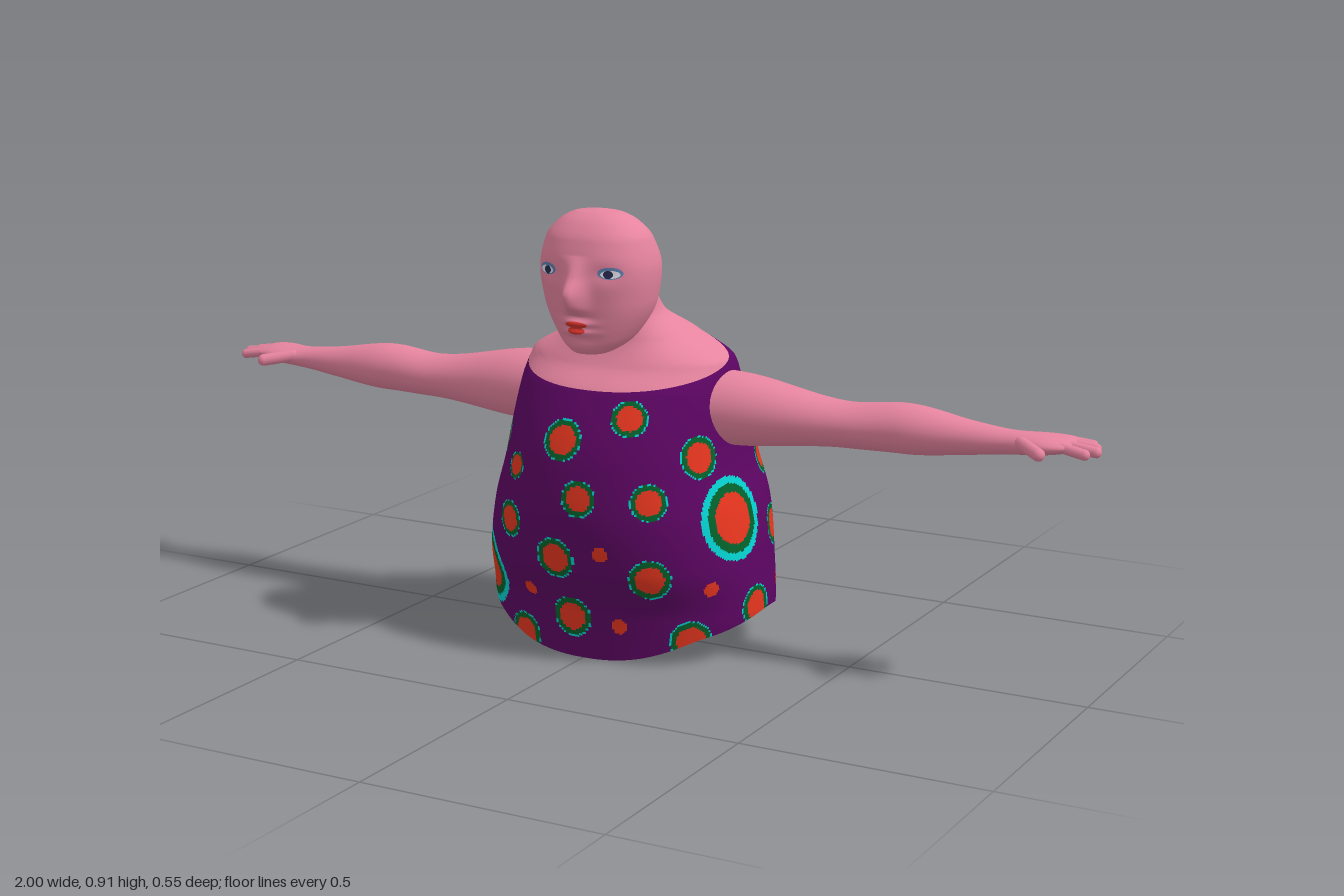
import * as THREE from 'three';
import { ParametricGeometry } from 'three/addons/geometries/ParametricGeometry.js';

const mat = (name, color, side = THREE.FrontSide) => {
  const m = new THREE.MeshStandardMaterial({ color, side });
  m.name = name;
  return m;
};

// Smooth monotone curve through rows of [key, value, value, ...]
function curve(rows) {
  const n = rows.length;
  const slope = (i, c) => (rows[i + 1][c] - rows[i][c]) / (rows[i + 1][0] - rows[i][0]);
  const tangent = (i, c) => {
    if (i === 0) return slope(0, c);
    if (i === n - 1) return slope(n - 2, c);
    const a = slope(i - 1, c), b = slope(i, c);
    return a * b > 0 ? (2 * a * b) / (a + b) : 0;
  };
  return (key) => {
    const k = Math.min(Math.max(key, rows[0][0]), rows[n - 1][0]);
    let i = 0;
    while (i < n - 2 && k > rows[i + 1][0]) i++;
    const h = rows[i + 1][0] - rows[i][0], t = (k - rows[i][0]) / h;
    return rows[i].slice(1).map((p, j) => {
      const c = j + 1, q = rows[i + 1][c];
      return p * (1 + 2 * t) * (1 - t) ** 2 + tangent(i, c) * h * t * (1 - t) ** 2
        + q * t * t * (3 - 2 * t) + tangent(i + 1, c) * h * t * t * (t - 1);
    });
  };
}

const spow = (v, e) => Math.sign(v) * Math.abs(v) ** e;

// Horizontal sections: height, half width, front z, back z
const bodySection = curve([
  [0, 0.285, 0.205, -0.23], [0.1, 0.304, 0.212, -0.237], [0.2, 0.297, 0.25, -0.256],
  [0.3, 0.28, 0.262, -0.274], [0.4, 0.252, 0.25, -0.256], [0.55, 0.229, 0.187, -0.19],
  [0.6, 0.218, 0.14, -0.155], [0.65, 0.138, 0.118, -0.12], [0.7, 0.085, 0.115, -0.04],
  [0.74, 0.075, 0.12, -0.005], [0.76, 0.06, 0.12, 0.03],
]);
const headSection = curve([
  [0.628, 0.001, 0.165, 0.163], [0.633, 0.036, 0.2, 0.12], [0.67, 0.08, 0.216, 0.05],
  [0.74, 0.114, 0.228, 0.015], [0.8, 0.122, 0.234, 0.012], [0.86, 0.109, 0.22, 0.038],
  [0.89, 0.085, 0.2, 0.065], [0.91, 0.05, 0.172, 0.1], [0.917, 0.001, 0.141, 0.139],
]);

function bodyPoint(y, a, out) {
  const [w, f, b] = bodySection(y);
  return out.set(w * spow(Math.sin(a), 0.9), y, (f + b) / 2 + ((f - b) / 2) * spow(Math.cos(a), 0.9));
}

// Height at which a slanted edge, given as y over z, meets the body
const hem = curve([[-0.235, 0.068], [-0.2, 0.065], [-0.03, 0.095], [0.13, 0.06], [0.205, 0.003]]);
const neckline = curve([[-0.13, 0.655], [-0.03, 0.61], [0.05, 0.586], [0.185, 0.555]]);
function edgeHeight(edge, start, a) {
  const p = new THREE.Vector3();
  let y = start;
  for (let i = 0; i < 24; i++) y += 0.5 * (edge(bodyPoint(y, a, p).z)[0] - y);
  return y;
}

// Face relief: nose, lips, eye sockets and chin
const noseRise = curve([[0.712, 0], [0.735, 0.034], [0.757, 0.044], [0.795, 0.018], [0.835, 0]]);
const bell = (d, s) => Math.exp(-((d / s) ** 2));
const relief = (x, y) => noseRise(y)[0] * bell(x, 0.021)
  + 0.012 * bell(x, 0.03) * (bell(y - 0.698, 0.008) + bell(y - 0.68, 0.008))
  - 0.005 * bell(Math.abs(x) - 0.062, 0.03) * bell(y - 0.8, 0.018)
  + 0.005 * bell(x, 0.03) * bell(y - 0.648, 0.014);

// Painted oval lying on the face
const faceCurve = 2.3;
function facePatch(cx, cy, rx, ry, lift) {
  return new ParametricGeometry((u, v, out) => {
    const a = u * Math.PI * 2, r = 1 - v * 0.999;
    const x = cx + rx * r * Math.cos(a), y = cy + ry * r * Math.sin(a);
    const [w, f, b] = headSection(y);
    const z = (f + b) / 2 + ((f - b) / 2) * (1 - Math.abs(x / w) ** faceCurve) ** (1 / faceCurve);
    out.set(x, y, z + relief(x, y) + lift);
  }, 24, 8);
}

// Arm sections along x: centre y, half height, centre z, half depth
const armSection = curve([
  [0.17, 0.509, 0.077, -0.003, 0.088], [0.25, 0.508, 0.074, -0.005, 0.082], [0.49, 0.5, 0.046, -0.012, 0.056],
  [0.6, 0.505, 0.05, -0.017, 0.057], [0.75, 0.503, 0.032, -0.014, 0.037], [0.82, 0.504, 0.024, -0.014, 0.031],
  [0.9, 0.507, 0.019, -0.023, 0.051], [0.94, 0.508, 0.012, -0.03, 0.048], [0.95, 0.508, 0.001, -0.03, 0.002],
]);
// Fingers fan out from the palm: base x, base z, tip x, tip z, radius
const fingers = [
  [0.91, -0.062, 0.965, -0.074, 0.0095], [0.92, -0.043, 0.98, -0.047, 0.0105],
  [0.92, -0.021, 0.989, -0.018, 0.011], [0.92, 0.002, 0.977, 0.012, 0.0105],
  [0.85, 0.01, 0.9, 0.052, 0.013],
];

// Dress dots by size: bearing in degrees from the front, height
const bigDots = [[76, 0.3], [-58, 0.15]];
const ringedDots = [[-157, 0.497]];
const largeDots = [[-6, 0.46], [-63, 0.43], [62, 0.43], [-6, 0.22], [30, 0.19], [45, 0.055], [-28, 0.03],
  [115, 0.39], [109, 0.25], [147, 0.175], [83, 0.11], [-133, 0.11], [-3, 0.09], [-83, 0.09]];
const mediumDots = [[23, 0.51], [3, 0.35], [34, 0.35], [-32, 0.28], [-79, 0.32], [155, 0.29], [161, 0.43],
  [171, 0.575], [-122, 0.54], [-104, 0.316], [-176, 0.367], [-143, 0.19], [-107, 0.184], [167, 0.08]];
const lesserDots = [[-34, 0.39], [-142, 0.378], [-170, 0.19]];
const smallDots = [[11, 0.24], [-21, 0.135], [14, 0.08], [57, 0.165], [111, 0.135], [-160, 0.25]];
// Radius, then the reach of the red centre and green ring as fractions of it
const dots = [[bigDots, 0.086, 0.61, 0.82], [ringedDots, 0.055, 0.62, 0.85], [largeDots, 0.044, 0.69, 0.94],
  [mediumDots, 0.038, 0.69, 0.94], [lesserDots, 0.028, 0.75, 0.95], [smallDots, 0.016, 1, 1],
].flatMap(([list, r, red, green]) => list.map(([deg, y]) => (
  { centre: bodyPoint(y, THREE.MathUtils.degToRad(deg), new THREE.Vector3()), r, red, green })));

// 0 cloth, 1 red centre, 2 green ring, 3 turquoise rim
function dotColour(p) {
  for (const { centre, r, red, green } of dots) {
    const d = p.distanceTo(centre) / r;
    if (d < 1) return d < red ? 1 : d < green ? 2 : 3;
  }
  return 0;
}

function dressGeometry() {
  const cols = 360, rows = 130;
  const ends = Array.from({ length: cols + 1 }, (_, i) => {
    const a = (i / cols) * Math.PI * 2;
    return [edgeHeight(hem, 0.08, a), edgeHeight(neckline, 0.6, a)];
  });
  const at = (u, v, out) => {
    const s = Math.min(Math.max(u, 0), 1) * cols, i = Math.min(Math.floor(s), cols - 1), t = s - i;
    const lo = ends[i][0] * (1 - t) + ends[i + 1][0] * t, hi = ends[i][1] * (1 - t) + ends[i + 1][1] * t;
    return bodyPoint(lo + (hi - lo) * v, u * Math.PI * 2, out);
  };
  const geo = new ParametricGeometry(at, cols, rows);
  // Sort the faces into one group per colour
  const buckets = [[], [], [], []], p = new THREE.Vector3(), idx = geo.index.array;
  for (let q = 0; q < cols * rows; q++) {
    at(((q % cols) + 0.5) / cols, (Math.floor(q / cols) + 0.5) / rows, p);
    buckets[dotColour(p)].push(...idx.slice(q * 6, q * 6 + 6));
  }
  let start = 0;
  buckets.forEach((b, i) => { geo.addGroup(start, b.length, i); start += b.length; });
  geo.setIndex(buckets.flat());
  return geo;
}

export function createModel() {
  const model = new THREE.Group();
  model.name = 'figure';
  const skin = mat('skin', 0xe6849f), lip = mat('lips', 0xd8342c), white = mat('eye white', 0xe8e8ee);
  const lid = mat('eye shadow', 0x5f7fb0), iris = mat('iris', 0x26284f);
  const both = THREE.DoubleSide;
  const cloth = [mat('purple cloth', 0x5c0562, both), mat('red dots', 0xe8361f, both),
    mat('green rings', 0x04622c, both), mat('turquoise rims', 0x06d2d2, both)];
  const add = (name, geo, material, parent = model) => {
    const mesh = new THREE.Mesh(geo, material);
    mesh.name = name;
    parent.add(mesh);
    return mesh;
  };

  add('dress', dressGeometry(), cloth);

  // Shoulders and neck rise from the neckline into the head
  add('shouldersAndNeck', new ParametricGeometry((u, v, out) => {
    const a = u * Math.PI * 2, lo = edgeHeight(neckline, 0.6, a);
    bodyPoint(lo + (0.76 - lo) * v, a, out);
  }, 72, 24), skin);

  // Head, flatter in front, with the face relief pushed forward
  add('head', new ParametricGeometry((u, v, out) => {
    const a = u * Math.PI * 2, y = 0.7725 - 0.1445 * Math.cos(v * Math.PI);
    const [w, f, b] = headSection(y), c = Math.cos(a), e = c > 0 ? 2 / faceCurve : 1;
    const x = w * spow(Math.sin(a), e), rise = c > 0 ? relief(x, y) * Math.min(1, c * 3) : 0;
    out.set(x, y, (f + b) / 2 + ((f - b) / 2) * spow(c, e) + rise);
  }, 120, 90), skin);

  add('upperLip', facePatch(0, 0.696, 0.024, 0.007, 0.002), lip);
  add('lowerLip', facePatch(0, 0.684, 0.019, 0.007, 0.002), lip);

  for (const side of [1, -1]) {
    const label = side > 0 ? 'left' : 'right';
    add(label + 'EyeShadow', facePatch(side * 0.07, 0.802, 0.023, 0.012, 0.0015), lid);
    add(label + 'EyeWhite', facePatch(side * 0.071, 0.8, 0.018, 0.008, 0.003), white);
    add(label + 'Iris', facePatch(side * 0.068, 0.8, 0.009, 0.008, 0.0045), iris);

    const arm = new THREE.Group();
    arm.name = label + 'Arm';
    model.add(arm);
    add(label + 'ArmAndPalm', new ParametricGeometry((u, v, out) => {
      const a = u * Math.PI * 2, x = 0.17 + 0.78 * v, [cy, h, cz, d] = armSection(x);
      out.set(side * x, cy + h * Math.cos(a), cz + side * d * Math.sin(a));
    }, 32, 64), skin, arm);
    fingers.forEach(([x0, z0, x1, z1, r], i) => {
      const from = new THREE.Vector3(side * x0, 0.51, z0), to = new THREE.Vector3(side * x1, 0.502, z1);
      const along = to.clone().sub(from);
      const finger = add(i < 4 ? 'finger' : 'thumb', new THREE.CapsuleGeometry(r, along.length(), 5, 12), skin, arm);
      finger.position.copy(from).add(to).multiplyScalar(0.5);
      finger.quaternion.setFromUnitVectors(new THREE.Vector3(0, 1, 0), along.normalize());
    });
  }
  return model;
}
